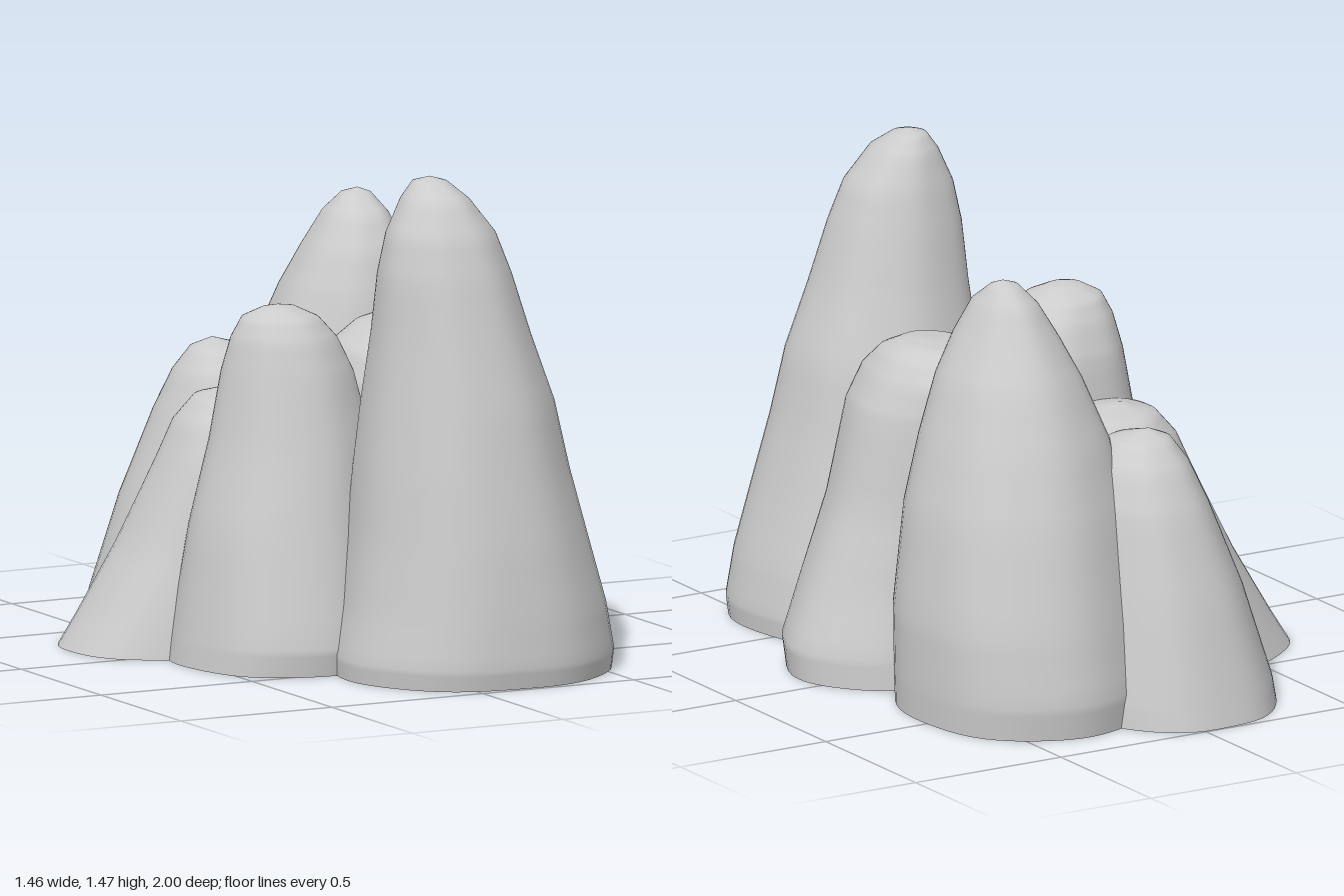
import * as THREE from 'three';

const SIDES = 56, STEPS = 4;

// Each rock column: rings of [y, xMin, xMax, zMin, zMax], from the ground to the tip
const COLUMNS = {
  frontRock: { phase: 0.4, rings: [
    [0, -0.245, 0.575, 0.2, 0.995], [0.06, -0.25, 0.58, 0.2, 1.005], [0.2, -0.22, 0.555, 0.22, 0.99],
    [0.4, -0.19, 0.5, 0.25, 0.96], [0.6, -0.17, 0.45, 0.28, 0.92], [0.8, -0.145, 0.41, 0.31, 0.88],
    [1.0, -0.12, 0.34, 0.36, 0.83], [1.18, -0.105, 0.285, 0.4, 0.785], [1.3, -0.08, 0.24, 0.43, 0.745],
    [1.4, -0.03, 0.165, 0.465, 0.685], [1.45, 0.01, 0.11, 0.5, 0.61], [1.465, 0.06, 0.06, 0.555, 0.555]] },
  rightRock: { phase: 2.1, rings: [
    [0, -0.05, 0.72, -0.21, 0.41], [0.09, -0.05, 0.725, -0.2, 0.43], [0.27, -0.05, 0.66, -0.17, 0.41],
    [0.5, -0.04, 0.58, -0.16, 0.38], [0.78, -0.02, 0.52, -0.17, 0.35], [0.88, 0.02, 0.47, -0.17, 0.32],
    [0.94, 0.1, 0.425, -0.12, 0.25], [0.97, 0.19, 0.37, -0.05, 0.18], [0.98, 0.3, 0.3, 0.08, 0.08]] },
  backRightRock: { phase: 3.3, rings: [
    [0, -0.03, 0.655, -0.87, -0.05], [0.1, -0.03, 0.66, -0.88, -0.05], [0.3, -0.03, 0.66, -0.84, -0.06],
    [0.6, -0.02, 0.615, -0.76, -0.08], [0.8, 0.02, 0.56, -0.69, -0.11], [0.98, 0.09, 0.5, -0.61, -0.15],
    [1.1, 0.15, 0.44, -0.54, -0.19], [1.2, 0.21, 0.39, -0.48, -0.25], [1.255, 0.265, 0.35, -0.42, -0.33],
    [1.27, 0.31, 0.31, -0.37, -0.37]] },
  backLeftRock: { phase: 4.6, rings: [
    [0, -0.39, 0.24, -1.0, -0.3], [0.07, -0.385, 0.24, -0.98, -0.3], [0.35, -0.31, 0.2, -0.9, -0.33],
    [0.6, -0.22, 0.16, -0.81, -0.38], [0.72, -0.17, 0.12, -0.745, -0.42], [0.79, -0.12, 0.06, -0.68, -0.49],
    [0.82, -0.05, -0.05, -0.6, -0.6]] },
  leftRock: { phase: 5.2, rings: [
    [0, -0.73, 0.05, -0.52, 0.12], [0.1, -0.67, 0.05, -0.5, 0.12], [0.3, -0.56, 0.05, -0.45, 0.11],
    [0.55, -0.45, 0.04, -0.37, 0.1], [0.66, -0.4, 0.0, -0.33, 0.06], [0.73, -0.34, -0.07, -0.27, 0.0],
    [0.76, -0.23, -0.23, -0.15, -0.15]] },
  frontLeftRock: { phase: 1.3, rings: [
    [0, -0.56, 0.08, -0.18, 0.53], [0.08, -0.55, 0.08, -0.17, 0.54], [0.4, -0.5, 0.06, -0.1, 0.46],
    [0.65, -0.435, 0.04, -0.06, 0.4], [0.85, -0.395, -0.01, -0.03, 0.35], [0.95, -0.37, -0.06, 0.01, 0.315],
    [1.01, -0.34, -0.115, 0.05, 0.275], [1.04, -0.285, -0.18, 0.12, 0.21], [1.05, -0.24, -0.24, 0.17, 0.17]] },
  // fills the middle, where the columns grow together
  innerSaddle: { phase: 0, rings: [
    [0, -0.41, 0.5, -0.74, 0.54], [0.35, -0.32, 0.38, -0.62, 0.45], [0.6, -0.19, 0.26, -0.48, 0.38],
    [0.68, -0.12, 0.16, -0.38, 0.32], [0.7, 0.02, 0.02, 0.0, 0.0]] },
};

// Extents of a column at height y
function extents(col, y) {
  const r = col.rings;
  let i = 0;
  while (i < r.length - 2 && y > r[i + 1][0]) i++;
  const t = (y - r[i][0]) / (r[i + 1][0] - r[i][0]);
  const [x0, x1, z0, z1] = [1, 2, 3, 4].map(k => THREE.MathUtils.lerp(r[i][k], r[i + 1][k], t));
  return { cx: (x0 + x1) / 2, cz: (z0 + z1) / 2, rx: (x1 - x0) / 2, rz: (z1 - z0) / 2 };
}

// Slightly squarish, lumpy outline factor at an angle
function outline(col, y, a) {
  const round = Math.pow(Math.abs(Math.cos(a)) ** 2.1 + Math.abs(Math.sin(a)) ** 2.1, -1 / 2.1);
  return round * (1 + 0.012 * Math.sin(3 * a + col.phase + 2.5 * y) + 0.01 * Math.sin(7 * a - col.phase * 2));
}

function isInside(col, x, y, z) {
  if (y >= col.rings.at(-1)[0]) return false;
  const e = extents(col, y);
  const u = (x - e.cx) / e.rx, v = (z - e.cz) / e.rz;
  return Math.hypot(u, v) < 0.99 * outline(col, y, Math.atan2(v, u));
}

// Open-bottomed shell, with the faces buried in neighbouring columns left out
function columnGeometry(col, others) {
  const heights = [col.rings[0][0]];
  for (let i = 1; i < col.rings.length; i++) {
    for (let s = 1; s <= STEPS; s++) {
      heights.push(THREE.MathUtils.lerp(col.rings[i - 1][0], col.rings[i][0], s / STEPS));
    }
  }
  const pos = [], index = [], buried = [];
  for (const y of heights) {
    const e = extents(col, y);
    for (let j = 0; j < SIDES; j++) {
      const a = j / SIDES * Math.PI * 2, k = outline(col, y, a);
      const x = e.cx + e.rx * k * Math.cos(a), z = e.cz + e.rz * k * Math.sin(a);
      pos.push(x, y, z);
      buried.push(others.some(o => isInside(o, x, y, z)));
    }
  }
  for (let i = 0; i < heights.length - 1; i++) {
    for (let j = 0; j < SIDES; j++) {
      const a = i * SIDES + j, b = i * SIDES + (j + 1) % SIDES, c = a + SIDES, d = b + SIDES;
      index.push(a, c, b);
      if (i < heights.length - 2) index.push(b, c, d);
    }
  }
  const geo = new THREE.BufferGeometry();
  geo.setAttribute('position', new THREE.Float32BufferAttribute(pos, 3));
  geo.setIndex(index);
  geo.computeVertexNormals();
  // the collapsed tip points straight up
  for (let j = pos.length / 3 - SIDES; j < pos.length / 3; j++) geo.attributes.normal.setXYZ(j, 0, 1, 0);

  const kept = [];
  for (let i = 0; i < index.length; i += 3) {
    const tri = index.slice(i, i + 3);
    if (!tri.every(v => buried[v])) kept.push(...tri);
  }
  geo.setIndex(kept);
  return geo;
}

export function createModel() {
  const group = new THREE.Group();
  group.name = 'rockCluster';
  const stone = new THREE.MeshStandardMaterial({ color: 0xcccccc, side: THREE.DoubleSide });
  for (const [name, col] of Object.entries(COLUMNS)) {
    const others = Object.values(COLUMNS).filter(o => o !== col);
    const mesh = new THREE.Mesh(columnGeometry(col, others), stone);
    mesh.name = name;
    group.add(mesh);
  }
  return group;
}
